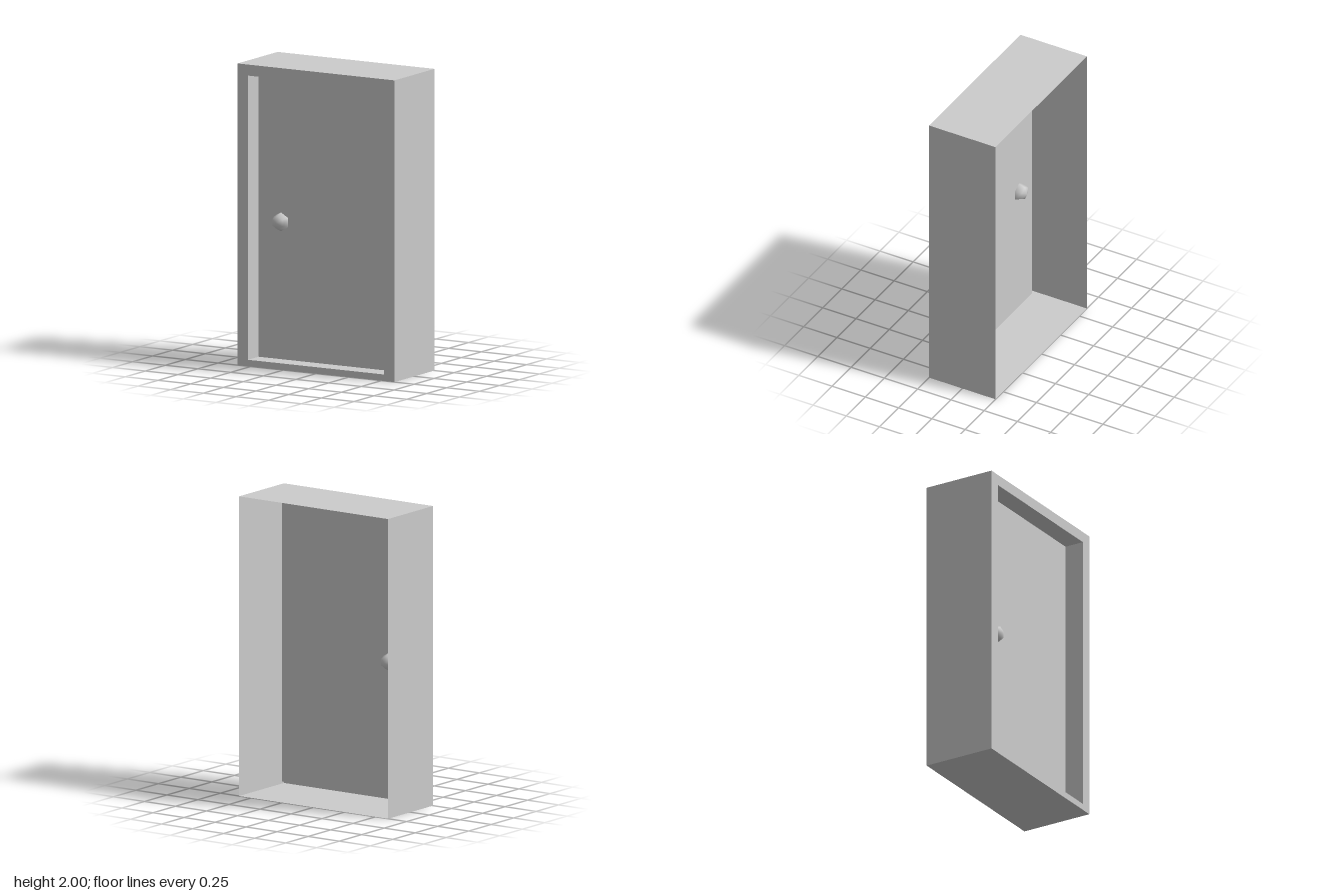
import * as THREE from 'three';

const material = new THREE.MeshStandardMaterial({ color: 0xcccccc, side: THREE.DoubleSide });

function add(parent, name, geometry, x, y, z) {
  const mesh = new THREE.Mesh(geometry, material);
  mesh.name = name;
  mesh.position.set(x, y, z);
  parent.add(mesh);
  return mesh;
}

// Four thin walls around a rectangle, running from z0 to z1; facing = 1 outward, -1 inward
function sleeve(name, halfWidth, bottom, top, z0, z1, facing) {
  const group = new THREE.Group();
  group.name = name;
  const depth = z1 - z0, height = top - bottom;
  const midY = (top + bottom) / 2, midZ = (z0 + z1) / 2;
  for (const s of [-1, 1]) {
    const side = new THREE.PlaneGeometry(depth, height).rotateY(s * facing * Math.PI / 2);
    add(group, s > 0 ? 'leftWall' : 'rightWall', side, s * halfWidth, midY, midZ);
    const flat = new THREE.PlaneGeometry(halfWidth * 2, depth).rotateX(-s * facing * Math.PI / 2);
    add(group, s > 0 ? 'topWall' : 'bottomWall', flat, 0, s > 0 ? top : bottom, midZ);
  }
  return group;
}

function rectangle(path, halfWidth, bottom, top) {
  path.moveTo(-halfWidth, bottom).lineTo(halfWidth, bottom).lineTo(halfWidth, top).lineTo(-halfWidth, top);
  path.closePath();
  return path;
}

export function createModel() {
  const model = new THREE.Group();
  model.name = 'door';
  const front = 0.25, panelZ = 0.117;
  const outer = [0.6, 0, 2];
  const inner = [0.52, 0.043, 1.927];

  // Outer casing, open at the back
  model.add(sleeve('casing', ...outer, -front, front, 1));

  // Flat border around the doorway
  const border = rectangle(new THREE.Shape(), ...outer);
  border.holes.push(rectangle(new THREE.Path(), ...inner));
  add(model, 'frontFrame', new THREE.ShapeGeometry(border), 0, 0, front);

  // Recess leading in to the door panel
  model.add(sleeve('recess', ...inner, panelZ, front, -1));
  const panel = new THREE.ShapeGeometry(rectangle(new THREE.Shape(), ...inner));
  add(model, 'doorPanel', panel, 0, 0, panelZ);

  // Six-sided smooth knob, showing on both faces of the panel
  const knob = new THREE.SphereGeometry(0.0625, 6, 4).rotateX(Math.PI / 2).rotateZ(Math.PI / 2);
  add(model, 'knob', knob, -0.35, 0.953, panelZ);

  return model;
}
